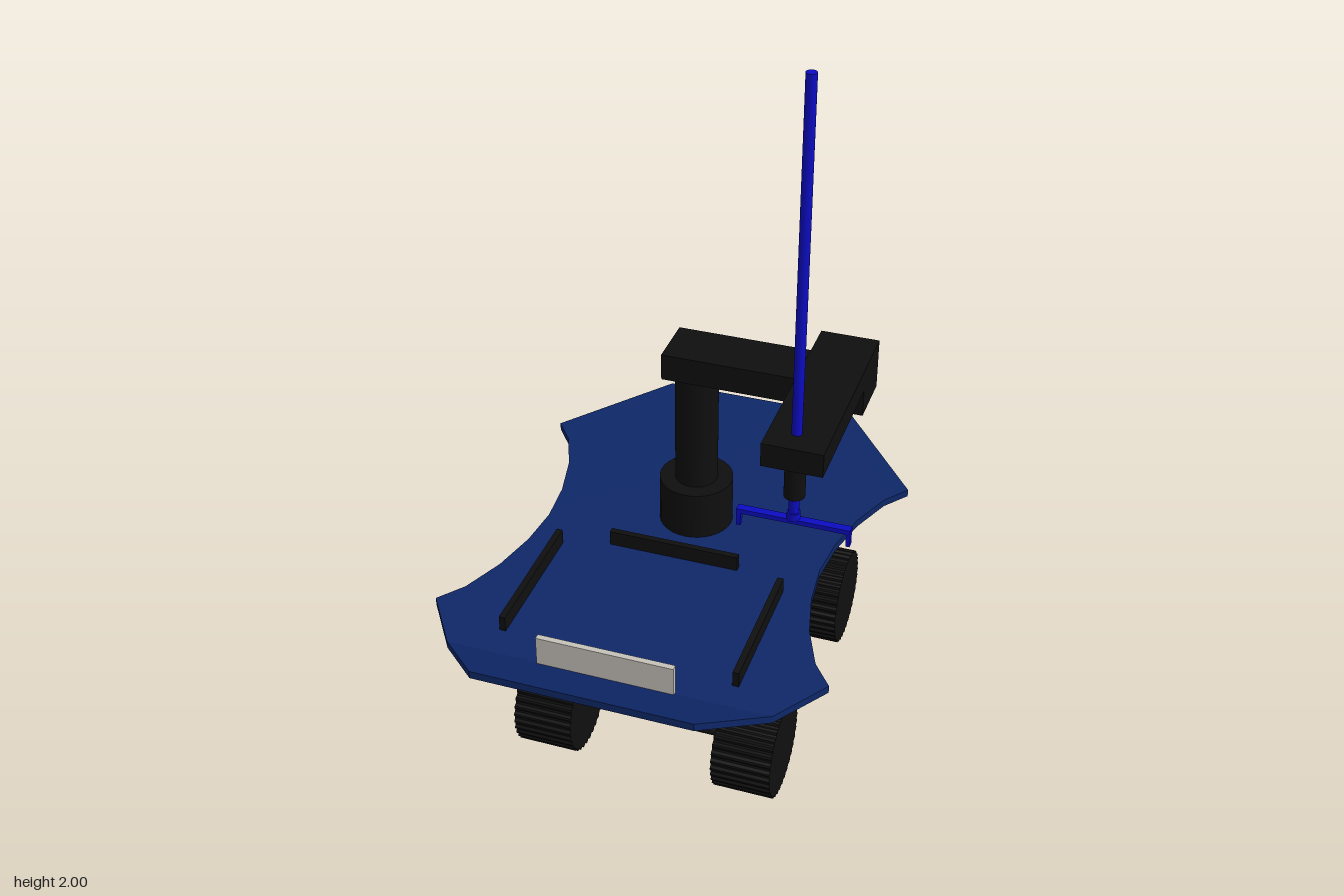
import * as THREE from 'three';

const material = (name, color) => {
  const m = new THREE.MeshStandardMaterial({ color });
  m.name = name;
  return m;
};

export function createModel() {
  const navy = material('navy', 0x0e2768);
  const black = material('black', 0x0f0f0f);
  const blue = material('bright blue', 0x0c0cc4);
  const pale = material('pale grey', 0xc6c2ba);
  const model = new THREE.Group();

  const add = (name, geometry, mat, x = 0, y = 0, z = 0) => {
    const mesh = new THREE.Mesh(geometry, mat);
    mesh.name = name;
    mesh.position.set(x, y, z);
    model.add(mesh);
    return mesh;
  };
  // Box given by its low and high corner
  const box = (name, mat, [x0, y0, z0], [x1, y1, z1]) =>
    add(name, new THREE.BoxGeometry(x1 - x0, y1 - y0, z1 - z0), mat, (x0 + x1) / 2, (y0 + y1) / 2, (z0 + z1) / 2);
  // Upright cylinder between two heights
  const post = (name, mat, r, y0, y1, x, z, sides = 32) =>
    add(name, new THREE.CylinderGeometry(r, r, y1 - y0, sides), mat, x, (y0 + y1) / 2, z);
  // Round rod between two points
  const rod = (name, mat, r, a, b, sides = 12) => {
    const from = new THREE.Vector3(...a), to = new THREE.Vector3(...b);
    const dir = to.clone().sub(from);
    const mesh = add(name, new THREE.CylinderGeometry(r, r, dir.length(), sides), mat);
    mesh.position.copy(from).add(to).multiplyScalar(0.5);
    mesh.quaternion.setFromUnitVectors(new THREE.Vector3(0, 1, 0), dir.normalize());
    return mesh;
  };
  // Horizontal plate mirrored from its +x outline of [x, z] points
  const plate = (half, thickness) => {
    const mirrored = half.map(([x, z]) => [-x, z]).reverse();
    const shape = new THREE.Shape([...half, ...mirrored].map(p => new THREE.Vector2(...p)));
    return new THREE.ExtrudeGeometry(shape, { depth: thickness, bevelEnabled: false }).rotateX(Math.PI / 2);
  };

  // Waisted deck with an upturned front
  const waist = [[0.5, 0.41], [0.45, 0.345], [0.405, 0.235], [0.377, 0.115]];
  const side = [[0.27, -0.71], ...waist.map(([x, z]) => [x, -z]), [0.367, 0], ...waist.slice().reverse(), [0.405, 0.55]];
  add('deck', plate(side, 0.02), navy, 0, 0.56, 0);
  const flap = plate([[0.405, 0.55], [0.27, 0.71]], 0.02);
  const pos = flap.attributes.position;
  for (let i = 0; i < pos.count; i++) pos.setY(i, pos.getY(i) + (pos.getZ(i) - 0.55) * 0.48);
  flap.computeVertexNormals();
  add('deckFront', flap, navy, 0, 0.56, 0);

  // Deck fittings
  box('leftRail', black, [0.287, 0.56, 0.11], [0.303, 0.6, 0.48]);
  box('rightRail', black, [-0.303, 0.56, 0.1], [-0.287, 0.6, 0.47]);
  box('crossRail', black, [-0.17, 0.56, 0.052], [0.17, 0.6, 0.068]);
  box('frontPanel', pale, [-0.17, 0.555, 0.543], [0.17, 0.64, 0.558]);

  // Column and folded arm
  post('armBase', black, 0.095, 0.56, 0.69, 0, -0.12);
  post('armColumn', black, 0.055, 0.69, 1.02, 0, -0.12);
  box('lowerArm', black, [-0.07, 1.01, -0.19], [0.44, 1.08, -0.05]);
  box('upperArm', black, [0.295, 1.08, -0.19], [0.44, 1.14, 0.325]);

  // Tool shaft and gripper
  post('shaftSleeve', black, 0.025, 0.97, 1.08, 0.36, 0.26);
  post('shaft', blue, 0.0125, 0.9, 2, 0.36, 0.26, 16);
  box('gripperBar', blue, [0.225, 0.895, 0.25], [0.497, 0.907, 0.27]);
  for (const x of [0.225, 0.487]) box('gripperFinger', blue, [x, 0.86, 0.252], [x + 0.01, 0.9, 0.268]);
  post('gripperCollar', blue, 0.016, 0.905, 0.925, 0.36, 0.26, 16);

  // Belly box and the plate hung below it
  box('bellyBox', navy, [-0.2, 0.31, -0.3], [0.2, 0.4, 0.07]);
  box('bellyPlate', navy, [-0.1, 0.265, -0.225], [0.1, 0.295, -0.01]);
  for (const z of [-0.02, -0.205]) post('plateHanger', black, 0.004, 0.29, 0.315, 0, z, 8);

  // Bent struts joining belly to deck
  const strutShape = new THREE.Shape([
    [0.07, 0.335], [0.245, 0.335], [0.405, 0.455], [0.405, 0.545],
    [0.375, 0.545], [0.375, 0.47], [0.238, 0.365], [0.07, 0.365],
  ].map(p => new THREE.Vector2(...p)));
  const strut = new THREE.ExtrudeGeometry(strutShape, { depth: 0.03, bevelEnabled: false })
    .rotateY(-Math.PI / 2).translate(0.015, 0, 0);
  for (const x of [-0.1, 0, 0.1]) add('frontStrut', strut, navy, x);

  // Ribbed wheel, axis along x
  const ribs = 36;
  const wheelShape = new THREE.Shape();
  for (let i = 0; i < ribs * 4; i++) {
    const a = (i / (ribs * 4)) * Math.PI * 2;
    const r = i % 4 < 2 ? 0.132 : 0.126;
    wheelShape[i ? 'lineTo' : 'moveTo'](Math.cos(a) * r, Math.sin(a) * r);
  }
  const wheel = new THREE.ExtrudeGeometry(wheelShape, { depth: 0.155, bevelEnabled: false })
    .rotateY(Math.PI / 2).translate(-0.0775, 0, 0);

  // Axle frames, wheels and stay wires
  for (const [barZ, wheelZ] of [[0.038, 0.205], [-0.27, -0.437]]) {
    box('crossbar', black, [-0.165, 0.267, barZ - 0.014], [0.165, 0.296, barZ + 0.014]);
    for (const s of [-1, 1]) {
      rod('leg', black, 0.013, [s * 0.153, 0.28, barZ], [s * 0.153, 0.138, wheelZ]);
      rod('axle', black, 0.014, [s * 0.11, 0.138, wheelZ], [s * 0.2, 0.138, wheelZ]);
      add('wheel', wheel, black, s * 0.267, 0.135, wheelZ);
    }
  }
  for (const s of [-1, 1]) {
    rod('frontStay', black, 0.0025, [s * 0.165, 0.395, 0.065], [s * 0.165, 0.545, 0.385], 6);
    rod('rearStay', black, 0.0025, [s * 0.165, 0.395, -0.29], [s * 0.165, 0.545, -0.63], 6);
  }
  return model;
}
